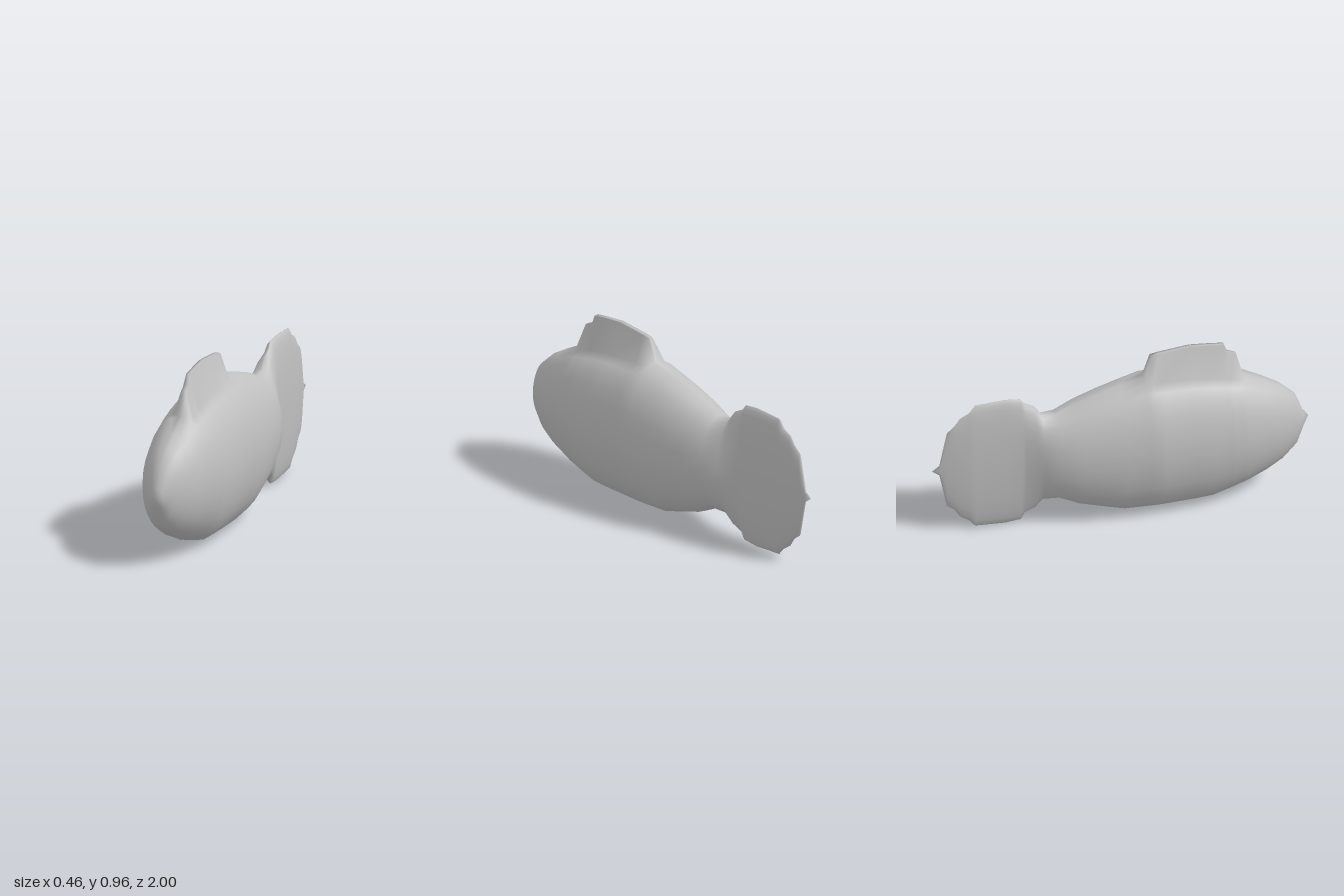
import * as THREE from 'three';

// Body stations, nose to tail: [z, bottom y, top y, half width, fin top y (optional)]
const STATIONS = [
  [0.97, 0.345, 0.445, 0.035], [0.93, 0.245, 0.55, 0.08], [0.85, 0.17, 0.625, 0.13],
  [0.76, 0.12, 0.68, 0.167], [0.65, 0.07, 0.74, 0.193], [0.615, 0.06, 0.75, 0.199, 0.87],
  [0.57, 0.043, 0.765, 0.205, 0.89], [0.55, 0.037, 0.77, 0.207, 0.94],
  [0.47, 0.012, 0.79, 0.216, 0.95], [0.37, 0.008, 0.805, 0.224, 0.96],
  [0.2, 0.005, 0.815, 0.23, 0.943], [0.16, 0.005, 0.815, 0.229, 0.936],
  [0.12, 0.006, 0.815, 0.226], [0, 0.01, 0.782, 0.215], [-0.1, 0.04, 0.752, 0.203],
  [-0.23, 0.08, 0.708, 0.18], [-0.34, 0.135, 0.657, 0.152], [-0.42, 0.13, 0.665, 0.105],
  [-0.455, 0.08, 0.72, 0.085], [-0.51, 0.05, 0.75, 0.06], [-0.53, 0.01, 0.78, 0.056],
  [-0.61, 0.002, 0.79, 0.047], [-0.77, 0.012, 0.782, 0.041], [-0.8, 0.05, 0.74, 0.039],
  [-0.85, 0.085, 0.712, 0.032], [-0.88, 0.135, 0.668, 0.026], [-0.92, 0.165, 0.632, 0.019],
  [-0.96, 0.37, 0.43, 0.008],
];

// Ring angles in degrees from the top; the close pair at the top carries the fin edge
const HALF = [3.5, 16, 28, 40, 52, 64, 77, 90, 103, 116, 128, 140, 152, 166];
const ANGLES = [0, ...HALF, 180, ...HALF.map((a) => 360 - a).reverse()];

function ring([z, bottom, top, width, fin]) {
  const mid = (top + bottom) / 2, radius = (top - bottom) / 2;
  return ANGLES.flatMap((deg) => {
    const a = THREE.MathUtils.degToRad(deg);
    const onFin = fin && Math.cos(a) > 0.99;
    return [width * Math.sin(a), onFin ? fin : mid + radius * Math.cos(a), z];
  });
}

// Closed loft through the rings, ending in a point at nose and tail
function loft() {
  const n = ANGLES.length, rows = STATIONS.length;
  const positions = [...STATIONS.flatMap(ring), 0, 0.4, 1, 0, 0.4, -1];
  const nose = n * rows, tail = nose + 1, index = [];
  for (let j = 0; j < n; j++) {
    const k = (j + 1) % n;
    index.push(nose, k, j);
    for (let i = 0; i < rows - 1; i++) {
      const a = i * n + j, b = i * n + k;
      index.push(a, b, a + n, b, b + n, a + n);
    }
    index.push((rows - 1) * n + j, (rows - 1) * n + k, tail);
  }
  const geometry = new THREE.BufferGeometry();
  geometry.setAttribute('position', new THREE.Float32BufferAttribute(positions, 3));
  geometry.setIndex(index);
  geometry.computeVertexNormals();
  return geometry;
}

export function createModel() {
  const group = new THREE.Group();
  group.name = 'fish';
  const grey = new THREE.MeshStandardMaterial({ color: 0xc0c0c0 });
  grey.name = 'grey';
  // Body, back fin and tail fin are one continuous skin
  const body = new THREE.Mesh(loft(), grey);
  body.name = 'bodyWithFins';
  group.add(body);
  return group;
}
